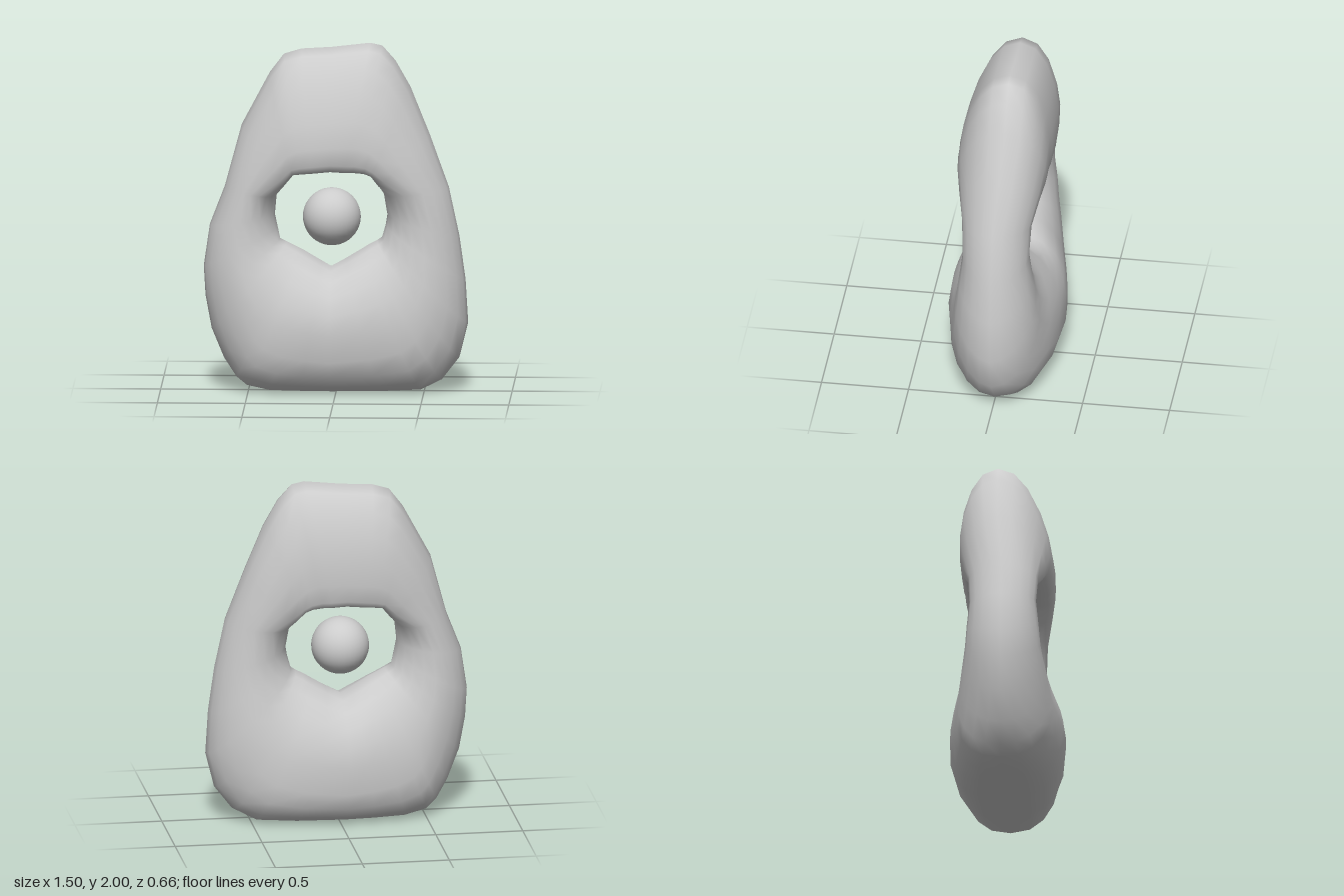
import * as THREE from 'three';

// Sections around the ring, counterclockwise from the bottom:
// [outer x, outer y, hole x, hole y, half depth]
const SECTIONS = [
  [-0.03, 0.005, -0.03, 0.72, 0.33],
  [0.25, 0.005, 0.06, 0.77, 0.32],
  [0.48, 0.01, 0.15, 0.825, 0.288],
  [0.60, 0.07, 0.19, 0.85, 0.267],
  [0.70, 0.20, 0.23, 0.87, 0.25],
  [0.75, 0.40, 0.26, 0.89, 0.232],
  [0.735, 0.65, 0.28, 0.96, 0.21],
  [0.70, 0.90, 0.29, 1.02, 0.19],
  [0.64, 1.18, 0.27, 1.14, 0.20],
  [0.53, 1.48, 0.24, 1.20, 0.235],
  [0.42, 1.75, 0.20, 1.26, 0.255],
  [0.335, 1.90, 0.16, 1.275, 0.26],
  [0.26, 1.985, 0.10, 1.28, 0.26],
  [0.19, 2.0, 0.05, 1.28, 0.265],
  [-0.03, 1.975, -0.03, 1.285, 0.265],
  [-0.20, 1.965, -0.13, 1.275, 0.265],
  [-0.30, 1.935, -0.19, 1.27, 0.26],
  [-0.38, 1.83, -0.24, 1.265, 0.255],
  [-0.54, 1.53, -0.29, 1.20, 0.235],
  [-0.635, 1.18, -0.34, 1.13, 0.20],
  [-0.72, 0.96, -0.35, 1.02, 0.19],
  [-0.755, 0.72, -0.335, 0.95, 0.205],
  [-0.745, 0.55, -0.32, 0.88, 0.215],
  [-0.71, 0.36, -0.28, 0.86, 0.233],
  [-0.64, 0.19, -0.25, 0.845, 0.25],
  [-0.57, 0.08, -0.22, 0.83, 0.265],
  [-0.51, 0.03, -0.19, 0.815, 0.277],
  [-0.38, 0.005, -0.14, 0.785, 0.298],
  [-0.20, 0.005, -0.08, 0.75, 0.32],
];
const SIDES = 20;

// Rounded ring lofted through blunt oval cross-sections
function ringGeometry() {
  const positions = [], indices = [];
  const rows = SECTIONS.length;
  for (const [ox, oy, ix, iy, depth] of SECTIONS) {
    const foot = (1 - THREE.MathUtils.smoothstep(oy, 0, 0.4)) * (1 - ox * ox * 1.7);
    const high = THREE.MathUtils.smoothstep(oy, 1.1, 1.75);
    for (let j = 0; j < SIDES; j++) {
      const v = (j / SIDES) * Math.PI * 2;
      const c = Math.cos(v), s = Math.sin(v);
      // Pointed sides, a blunt foot, and a thick hood over the hole
      const n = c > 0 ? 1.75 + 1.1 * foot + 0.45 * high : 2 + 0.5 * high;
      const round = 0.5 + 0.5 * Math.sign(c) * Math.abs(c) ** (2 / n);
      const t = round ** (1 + 1.2 * high);
      const z = Math.sign(s) * Math.abs(s) ** (2 / n) * depth;
      const lean = -0.04 * (high + 0.6 * foot) * Math.max(0, c);
      positions.push(ix + (ox - ix) * t, iy + (oy - iy) * t, z + lean);
    }
  }
  for (let i = 0; i < rows; i++) {
    for (let j = 0; j < SIDES; j++) {
      const i2 = (i + 1) % rows, j2 = (j + 1) % SIDES;
      const a = i * SIDES + j, b = i2 * SIDES + j;
      const c = i2 * SIDES + j2, d = i * SIDES + j2;
      indices.push(a, b, c, a, c, d);
    }
  }
  const geometry = new THREE.BufferGeometry();
  geometry.setAttribute('position', new THREE.Float32BufferAttribute(positions, 3));
  geometry.setIndex(indices);
  geometry.computeVertexNormals();
  return geometry;
}

export function createModel() {
  const group = new THREE.Group();
  const material = new THREE.MeshStandardMaterial({ color: 0xcccccc });

  const body = new THREE.Mesh(ringGeometry(), material);
  body.name = 'piercedStoneBody';
  group.add(body);

  // Ball floating in the hole
  const ball = new THREE.Mesh(new THREE.SphereGeometry(0.165, 32, 20), material);
  ball.name = 'ball';
  ball.position.set(-0.026, 1.006, 0);
  group.add(ball);

  return group;
}
